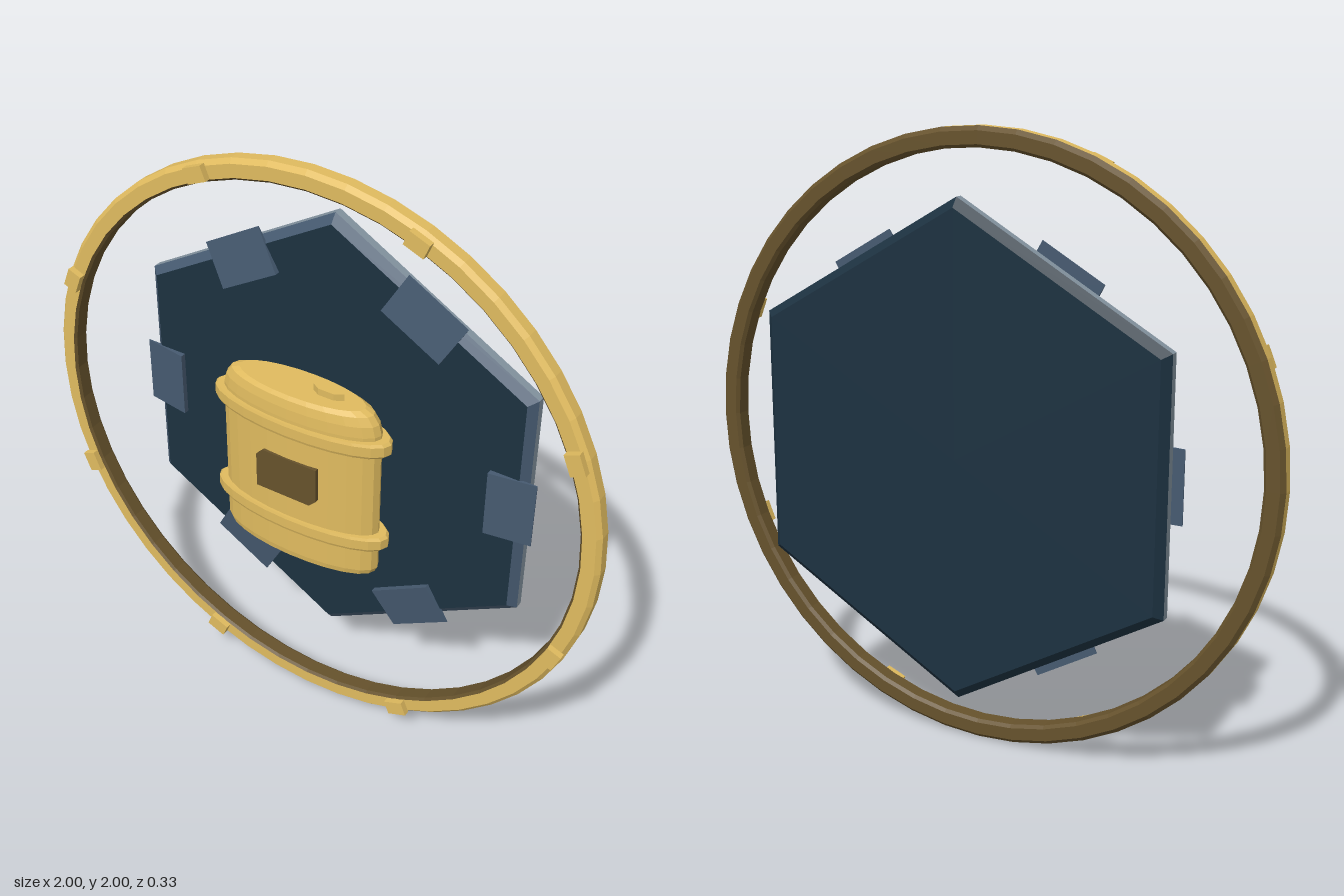
import * as THREE from 'three';

const paint = (name, color) => Object.assign(new THREE.MeshStandardMaterial({ color, flatShading: true }), { name });

export function createModel() {
  const gold = paint('gold', 0xe0bb5f);
  const bronze = paint('dark bronze', 0x66522c);
  const navy = paint('deep teal', 0x1c3140);
  const slate = paint('slate', 0x465a70);
  const steel = paint('pale steel', 0x8494a0);

  const model = new THREE.Group();
  const add = (name, geometry, material, x = 0, y = 0, z = 0, parent = model) => {
    const mesh = new THREE.Mesh(geometry, material);
    mesh.name = name;
    mesh.position.set(x, y, z);
    parent.add(mesh);
    return mesh;
  };
  const lathe = (points, sides) =>
    new THREE.LatheGeometry(points.map(([r, y]) => new THREE.Vector2(r, y)), sides);
  const polygon = (points) => new THREE.Shape(points.map(([x, y]) => new THREE.Vector2(x, y)));

  // Outer ring: gold front and rim, dark inner wall and back
  const ring = new THREE.Group();
  ring.name = 'outerRing';
  ring.position.set(0, 1, 0.015);
  ring.rotation.x = Math.PI / 2;
  model.add(ring);
  add('ringFront', lathe([
    [1, -0.018], [1, 0.018], [0.986, 0.032], [0.943, 0.032],
  ], 48), gold, 0, 0, 0, ring);
  add('ringBack', lathe([
    [0.943, 0.032], [0.935, 0.024], [0.935, -0.022], [0.945, -0.032], [0.986, -0.032], [1, -0.018],
  ], 48), bronze, 0, 0, 0, ring);

  // Eight small clips on the front of the ring
  for (let i = 0; i < 8; i++) {
    const a = (i + 0.5) * Math.PI / 4;
    const clip = add('ringClip', new THREE.BoxGeometry(0.05, 0.07, 0.022), gold,
      0.967 * Math.cos(a), 1 + 0.967 * Math.sin(a), 0.057);
    clip.rotation.z = a;
  }

  // Hexagonal back plate: two faces, two bevels and a rim band
  const plate = new THREE.Group();
  plate.name = 'hexPlate';
  plate.position.set(0, 1, -0.1275);
  model.add(plate);
  const hexBand = (name, front, back, depth, material, z) =>
    add(name, new THREE.CylinderGeometry(front, back, depth, 6, 1, true).rotateX(Math.PI / 2), material, 0, 0, z, plate);
  hexBand('frontBevel', 0.772, 0.802, 0.024, slate, 0.0255);
  hexBand('rimBand', 0.802, 0.802, 0.027, steel, 0);
  hexBand('backBevel', 0.802, 0.772, 0.024, navy, -0.0255);
  const hexFace = () => new THREE.CircleGeometry(0.772, 6, Math.PI / 2);
  add('frontFace', hexFace(), navy, 0, 0, 0.0375, plate);
  add('backFace', hexFace().rotateY(Math.PI), navy, 0, 0, -0.0375, plate);

  // Wedge tabs sloping outward over each plate edge
  const wedge = polygon([[0.572, -0.097], [0.725, -0.097], [0.725, -0.094], [0.572, -0.071]]);
  for (let i = 0; i < 6; i++) {
    const geometry = new THREE.ExtrudeGeometry(wedge, { depth: 0.232, bevelEnabled: false });
    geometry.translate(0, 0, -0.116).rotateX(Math.PI / 2);
    add('edgeTab', geometry, slate, 0, 1, 0).rotation.z = i * Math.PI / 3;
  }

  // Oval canister in front of the plate
  const canister = new THREE.Group();
  canister.name = 'canister';
  canister.position.z = 0.068;
  model.add(canister);
  const body = lathe([
    [0, 0.685], [0.274, 0.685], [0.284, 0.705], [0.284, 1.225],
    [0.275, 1.26], [0.255, 1.288], [0.225, 1.3], [0, 1.3],
  ], 24).scale(1, 1, 0.303);
  add('canisterBody', body, gold, 0, 0, 0, canister);

  // Two raised bands
  for (const y of [0.824, 1.187]) {
    const band = lathe([
      [0.27, -0.026], [0.31, -0.026], [0.319, -0.017], [0.319, 0.017], [0.31, 0.026], [0.27, 0.026],
    ], 24).scale(1, 1, 0.303);
    add('canisterBand', band, gold, 0, y, 0, canister);
  }

  // Flat six-sided cap on top
  const cap = new THREE.CylinderGeometry(0.055, 0.055, 0.03, 6).rotateY(Math.PI / 2).scale(1, 1, 0.34);
  add('fillerCap', cap, gold, 0.097, 1.308, 0, canister);

  // Dark panel with two clipped corners
  const panel = polygon([
    [-0.11, -0.073], [0.085, -0.073], [0.11, -0.048],
    [0.11, 0.073], [-0.085, 0.073], [-0.11, 0.048],
  ]);
  add('frontPanel', new THREE.ExtrudeGeometry(panel, { depth: 0.022, bevelEnabled: false }),
    bronze, 0, 1.004, 0.07, canister);

  return model;
}
